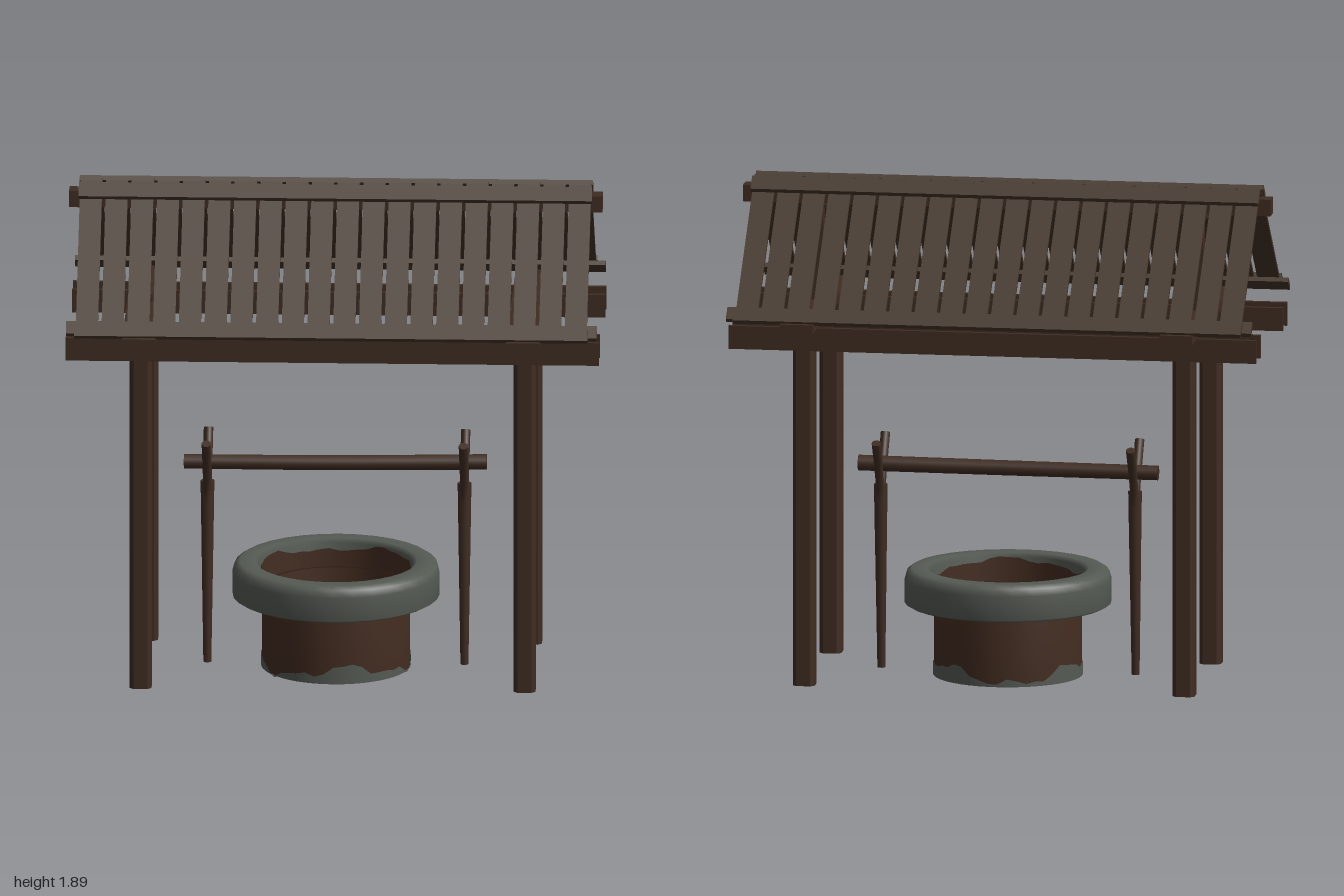
import * as THREE from 'three';

const mat = (name, color, side = THREE.FrontSide) => {
  const m = new THREE.MeshStandardMaterial({ color, side });
  m.name = name;
  return m;
};

export function createModel() {
  const wood = mat('timber', 0x3f2c22);
  const roofWood = mat('roof wood', 0x433326);
  const stone = mat('stone', 0x555a53, THREE.DoubleSide);
  const clay = mat('clay', 0x442d21, THREE.DoubleSide);

  const model = new THREE.Group();
  model.name = 'well';
  const add = (name, geo, material, x = 0, y = 0, z = 0, parent = model) => {
    const m = new THREE.Mesh(geo, material);
    m.name = name;
    m.position.set(x, y, z);
    parent.add(m);
    return m;
  };
  const box = (name, w, h, d, x, y, z, material = wood, parent = model) =>
    add(name, new THREE.BoxGeometry(w, h, d), material, x, y, z, parent);

  // Posts: square timbers with cut corners
  const a = 0.041, c = 0.026;
  const section = new THREE.Shape([[a, -c], [a, c], [c, a], [-c, a], [-a, c], [-a, -c], [-c, -a], [c, -a]]
    .map(([x, y]) => new THREE.Vector2(x, y)));
  const postGeo = new THREE.ExtrudeGeometry(section, { depth: 1.37, bevelEnabled: false });
  postGeo.rotateX(-Math.PI / 2);
  for (const sx of [-1, 1]) {
    for (const sz of [-1, 1]) add('post', postGeo, wood, sx * 0.72, 0, sz * 0.33);
    // Cross beam and the short king post that carries the ridge
    box('crossBeam', 0.125, 0.034, 1.1, sx * 0.72, 1.395, 0);
    box('kingPostFoot', 0.065, 0.03, 0.065, sx * 0.72, 1.427, 0);
    box('kingPost', 0.045, 0.36, 0.045, sx * 0.72, 1.6, 0);
    box('kingPostCap', 0.08, 0.014, 0.085, sx * 0.72, 1.77, 0);
  }

  // Paired long beams clamping the posts
  for (const z of [-0.385, -0.275, 0.275, 0.385]) box('longBeam', 2, 0.088, 0.02, 0, 1.328, z);
  box('ridgeBeam', 2, 0.063, 0.066, 0, 1.81, 0);

  // Roof slopes: local z runs down the slope, local y points outward
  const tilt = 0.757, slope = 0.665;
  for (const side of [1, -1]) {
    const turn = new THREE.Group();
    turn.name = side > 0 ? 'frontRoof' : 'backRoof';
    turn.rotation.y = side > 0 ? 0 : Math.PI;
    model.add(turn);
    const pitch = new THREE.Group();
    pitch.position.set(0, 1.876, 0.012);
    pitch.rotation.x = tilt;
    turn.add(pitch);
    for (let i = 0; i < 20; i++)
      box('slat', 0.083, 0.014, slope, (i - 9.5) * 0.0965, 0, slope / 2, roofWood, pitch);
    box('ridgeBatten', 1.925, 0.02, 0.062, 0, 0.018, 0.053, roofWood, pitch);
    box('eaveBatten', 1.925, 0.02, 0.062, 0, 0.018, 0.662, roofWood, pitch);
    box('eavePurlin', 1.99, 0.02, 0.055, 0, -0.016, 0.635, roofWood, pitch);
  }

  // Stone rim with rounded upper edges
  const rim = [[0.285, 0.265], [0.37, 0.265], [0.388, 0.275], [0.388, 0.365], [0.38, 0.392],
    [0.36, 0.405], [0.305, 0.405], [0.288, 0.39], [0.285, 0.265]]
    .map(([r, y]) => new THREE.Vector2(r, y));
  add('stoneRim', new THREE.LatheGeometry(rim, 32), stone);

  // Ring wall whose upper edge is moved by a ragged height rule
  const ragged = (angle) => 0.03 * Math.sin(angle * 3 + 1) + 0.016 * Math.sin(angle * 8)
    + 0.008 * Math.sin(angle * 17 + 2);
  const raggedWall = (r, bottom, top, amount) => {
    const g = new THREE.CylinderGeometry(r, r, 1, 48, 1, true);
    const p = g.attributes.position;
    for (let i = 0; i < p.count; i++) {
      const edge = top + amount * ragged(Math.atan2(p.getX(i), p.getZ(i)));
      p.setY(i, p.getY(i) > 0 ? edge : bottom);
    }
    return g;
  };

  // Clay shaft, open at both ends, with worn stone showing at the foot
  const shaft = [[0.265, 0], [0.278, 0], [0.278, 0.3], [0.265, 0.3], [0.265, 0]]
    .map(([r, y]) => new THREE.Vector2(r, y));
  add('shaft', new THREE.LatheGeometry(shaft, 48), clay);
  add('shaftLining', raggedWall(0.281, 0.28, 0.375, 0.4), clay);
  add('wornFoot', raggedWall(0.281, 0, 0.037, 0.85), stone);
  add('wornFootInside', raggedWall(0.263, 0, 0.022, 0.5), stone);

  // Round branch along a path, tapering from r0 to r1, with closed ends
  const branch = (name, pts, r0, r1, sides = 10) => {
    const curve = new THREE.CatmullRomCurve3(pts.map((p) => new THREE.Vector3(...p)));
    const rows = 12;
    const g = new THREE.TubeGeometry(curve, rows, 1, sides, false);
    const p = g.attributes.position, v = new THREE.Vector3();
    for (let i = 0; i < p.count; i++) {
      const t = Math.floor(i / (sides + 1)) / rows;
      const o = curve.getPointAt(t);
      v.fromBufferAttribute(p, i).sub(o).multiplyScalar(r0 + (r1 - r0) * t).add(o);
      p.setXYZ(i, v.x, v.y, v.z);
    }
    add(name, g, wood);
    for (const [t, r, s] of [[0, r0, -1], [1, r1, 1]]) {
      const cap = add(name + 'End', new THREE.CircleGeometry(r, sides), wood);
      cap.position.copy(curve.getPointAt(t));
      cap.quaternion.setFromUnitVectors(new THREE.Vector3(0, 0, 1), curve.getTangentAt(t).multiplyScalar(s));
    }
  };

  // Forked stakes and the windlass log resting in them
  for (const x of [-0.482, 0.482]) {
    branch('stake', [[x, 0.008, 0.012], [x, 0.3, 0.006], [x, 0.55, 0], [x, 0.71, -0.002]], 0.015, 0.026);
    for (const s of [1, -1])
      branch('fork', [[x, 0.56, s * 0.006], [x, 0.68, s * 0.014], [x, 0.76, s * 0.045], [x, 0.885, s * 0.112]],
        0.014, 0.018);
  }
  branch('windlassLog', [[-0.57, 0.782, -0.005], [0, 0.784, 0], [0.565, 0.79, -0.01]], 0.028, 0.03, 12);

  return model;
}
